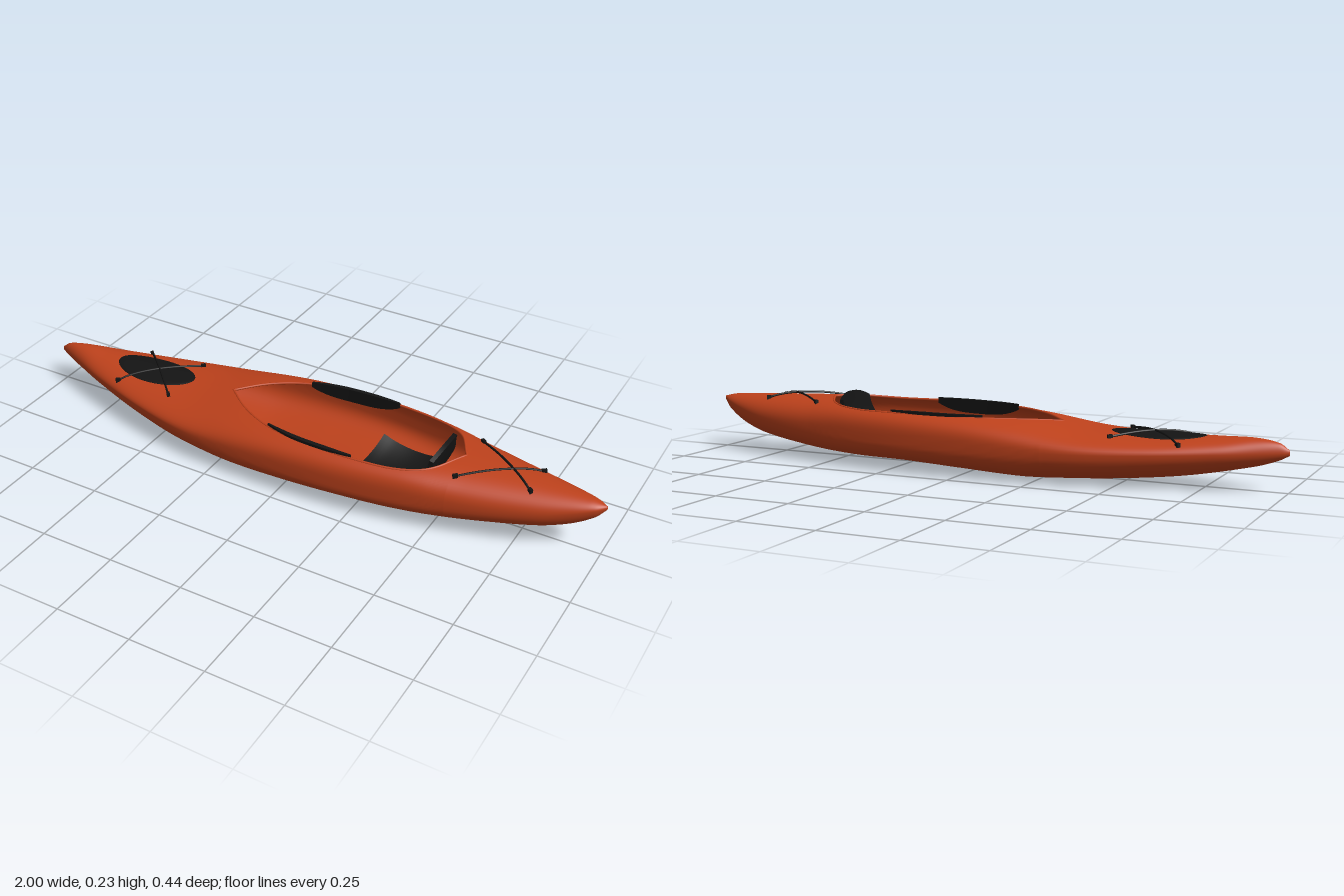
import * as THREE from 'three';

// Smooth curve through [x, value] pairs
function profile(pts) {
  const slope = i => {
    const a = pts[Math.max(i - 1, 0)], b = pts[Math.min(i + 1, pts.length - 1)];
    return (b[1] - a[1]) / (b[0] - a[0]);
  };
  return x => {
    let i = 0;
    while (i < pts.length - 2 && x > pts[i + 1][0]) i++;
    const [x0, y0] = pts[i], [x1, y1] = pts[i + 1], h = x1 - x0;
    const t = THREE.MathUtils.clamp((x - x0) / h, 0, 1), t2 = t * t, t3 = t2 * t;
    return (2 * t3 - 3 * t2 + 1) * y0 + (t3 - 2 * t2 + t) * h * slope(i)
      + (3 * t2 - 2 * t3) * y1 + (t3 - t2) * h * slope(i + 1);
  };
}

// Hull lines: half width, deck ridge, keel, height of the widest point, roundness of deck and bottom
const width = profile([[-1, 0.004], [-0.98, 0.014], [-0.9, 0.046], [-0.8, 0.085], [-0.6, 0.15], [-0.4, 0.198],
  [-0.2, 0.218], [0, 0.222], [0.2, 0.213], [0.4, 0.187], [0.6, 0.147], [0.8, 0.095], [0.9, 0.06], [0.97, 0.028], [1, 0.004]]);
const ridge = profile([[-1, 0.128], [-0.97, 0.148], [-0.9, 0.159], [-0.8, 0.157], [-0.6, 0.152], [-0.4, 0.158],
  [-0.2, 0.182], [0, 0.196], [0.2, 0.203], [0.4, 0.205], [0.6, 0.202], [0.8, 0.196], [0.95, 0.188], [1, 0.178]]);
const keel = profile([[-1, 0.112], [-0.97, 0.096], [-0.9, 0.073], [-0.7, 0.033], [-0.5, 0.012], [-0.3, 0.002],
  [-0.2, 0], [0, 0.012], [0.2, 0.022], [0.4, 0.022], [0.6, 0.031], [0.8, 0.056], [0.9, 0.087], [0.97, 0.13], [1, 0.165]]);
const beamY = profile([[-1, 0.12], [-0.8, 0.112], [-0.4, 0.1], [0, 0.1], [0.4, 0.105], [0.8, 0.13], [1, 0.172]]);
const deckPow = profile([[-1, 1.9], [-0.6, 2], [-0.3, 2.4], [0, 3.4], [0.4, 3.4], [0.6, 2.5], [1, 1.8]]);
const keelPow = profile([[-1, 1.8], [-0.6, 2.2], [0, 3], [0.4, 2.9], [0.7, 2.2], [1, 1.8]]);

// Half width of the cockpit opening
const BOW = -0.29, AFT = 0.55;
const opening = profile([[BOW, 0], [-0.2, 0.078], [-0.1, 0.133], [0, 0.16], [0.1, 0.17], [0.25, 0.169],
  [0.4, 0.148], [0.49, 0.1], [AFT, 0]]);
const rimZ = x => (x <= BOW || x >= AFT ? 0 : Math.max(0, opening(x)));

// Height of the deck above any point of the plan
function deckY(x, z) {
  const n = deckPow(x), r = Math.min(1, Math.abs(z) / width(x));
  return beamY(x) + (ridge(x) - beamY(x)) * Math.pow(1 - Math.pow(r, n), 1 / n);
}

// Hull and deck skin: sections run from one cockpit edge around the keel to the other
function hullGeometry() {
  const NX = 220, NJ = 56, pos = [], idx = [];
  const stations = Array.from({ length: NX + 1 }, (_, i) => -Math.cos((Math.PI * i) / NX));
  for (const tip of [BOW, AFT]) {
    const k = stations.findIndex(x => x > tip);
    stations.splice(k, 0, tip);
  }
  for (const x of stations) {
    const w = width(x), end = Math.acos(Math.pow(rimZ(x) / w, deckPow(x) / 2));
    for (let j = 0; j <= NJ; j++) {
      const s = 1 - (2 * j) / NJ;
      const t = -Math.PI / 2 + Math.abs(s) * (end + Math.PI / 2);
      const p = 2 / (t > 0 ? deckPow(x) : keelPow(x));
      const h = t > 0 ? ridge(x) - beamY(x) : keel(x) - beamY(x);
      const z = w * Math.pow(Math.max(0, Math.cos(t)), p);
      pos.push(x, beamY(x) + h * Math.pow(Math.abs(Math.sin(t)), p), Math.sign(s) * z);
    }
  }
  for (let i = 0; i < stations.length - 1; i++) {
    for (let j = 0; j < NJ; j++) {
      const a = i * (NJ + 1) + j, b = a + NJ + 1;
      idx.push(a, a + 1, b, b, a + 1, b + 1);
    }
  }
  // Close both tips
  for (const [row, flip] of [[0, false], [stations.length - 1, true]]) {
    const o = row * (NJ + 1);
    for (let j = 1; j < NJ; j++) flip ? idx.push(o, o + j, o + j + 1) : idx.push(o, o + j + 1, o + j);
  }
  const g = new THREE.BufferGeometry();
  g.setAttribute('position', new THREE.Float32BufferAttribute(pos, 3));
  g.setIndex(idx);
  g.computeVertexNormals();
  return g;
}

// Move every vertex of a geometry by a rule
function warp(g, rule) {
  const p = g.attributes.position, v = new THREE.Vector3();
  for (let i = 0; i < p.count; i++) {
    rule(v.fromBufferAttribute(p, i));
    p.setXYZ(i, v.x, v.y, v.z);
  }
  g.computeVertexNormals();
  return g;
}

export function createModel() {
  const model = new THREE.Group();
  const orange = new THREE.MeshStandardMaterial({ color: 0xbf421c });
  const shell = new THREE.MeshStandardMaterial({ color: 0xbf421c, side: THREE.DoubleSide });
  const black = new THREE.MeshStandardMaterial({ color: 0x141414 });
  const add = (name, geometry, material, parent = model) => {
    const mesh = new THREE.Mesh(geometry, material);
    mesh.name = name;
    parent.add(mesh);
    return mesh;
  };

  add('hull', hullGeometry(), shell);

  // Lip around the cockpit
  const rim = [];
  const N = 32;
  for (let i = 0; i < 2 * N; i++) {
    const x = (BOW + AFT) / 2 - ((AFT - BOW) / 2) * Math.cos((Math.PI * i) / N);
    const z = rimZ(x) * (i < N ? 1 : -1);
    rim.push(new THREE.Vector3(x, deckY(x, z) - 0.002, z));
  }
  add('cockpitRim', new THREE.TubeGeometry(new THREE.CatmullRomCurve3(rim, true), 160, 0.004, 8, true), orange);

  // Seat: a slab bent along a side profile, dished across, narrowing at the top of the back
  const side = new THREE.CatmullRomCurve3([[0.212, 0.075], [0.26, 0.058], [0.34, 0.046], [0.41, 0.055], [0.45, 0.1],
    [0.472, 0.165], [0.484, 0.224]].map(([x, y]) => new THREE.Vector3(x, y, 0)));
  const seat = new THREE.BoxGeometry(1, 0.014, 1, 28, 1, 12);
  add('seat', warp(seat, v => {
    const u = v.x + 0.5, c = side.getPoint(u), t = side.getTangent(u), k = v.z * 2;
    const half = 0.112 - 0.026 * THREE.MathUtils.smoothstep(u, 0.65, 1);
    const back = THREE.MathUtils.smoothstep(u, 0.6, 1);
    v.set(c.x - t.y * v.y - 0.012 * back * k * k,
      c.y + t.x * v.y + k * k * (0.018 * (1 - back) - 0.022 * back), k * half);
  }), black);

  // Knee pads hanging inside the cockpit edge
  for (const s of [1, -1]) {
    const pad = new THREE.BoxGeometry(0.31, 0.046, 0.014, 20, 2, 1);
    add(s > 0 ? 'kneePadLeft' : 'kneePadRight', warp(pad, v => {
      const taper = 1 - 0.6 * Math.pow(Math.abs(v.x) / 0.155, 3);
      const x = v.x + 0.085, z = rimZ(x);
      v.set(x, deckY(x, z) + 0.008 + (v.y - 0.023) * taper, s * (z - 0.003) + v.z * taper);
    }), black);
  }

  // Oval hatch cover following the curve of the foredeck
  const hatch = new THREE.SphereGeometry(1, 48, 20);
  add('hatchCover', warp(hatch, v => {
    const x = v.x * 0.15 - 0.6, z = v.z * 0.072;
    v.set(x, deckY(x, z) + v.y * 0.007, z);
  }), black);

  // Crossed deck cords with an anchor at each end
  function cords(name, x0, z0, x1, z1, lift) {
    const group = new THREE.Group();
    group.name = name;
    model.add(group);
    for (const s of [1, -1]) {
      const pts = [];
      for (let i = 0; i <= 12; i++) {
        const k = i / 12;
        const x = THREE.MathUtils.lerp(x0, x1, k), z = s * THREE.MathUtils.lerp(z0, -z1, k);
        pts.push(new THREE.Vector3(x, deckY(x, z) + 0.003 + lift * Math.sin(Math.PI * k), z));
      }
      add('cord', new THREE.TubeGeometry(new THREE.CatmullRomCurve3(pts), 32, 0.0035, 6), black, group);
      for (const p of [pts[0], pts[12]]) {
        const anchor = add('cordAnchor', new THREE.BoxGeometry(0.016, 0.014, 0.01), black, group);
        anchor.position.copy(p);
        anchor.rotation.y = Math.atan2(s * (z0 + z1), x1 - x0);
      }
    }
  }
  cords('bowCords', -0.69, 0.1, -0.48, 0.105, 0.006);
  cords('sternCords', 0.56, 0.104, 0.78, 0.056, 0.005);

  return model;
}
